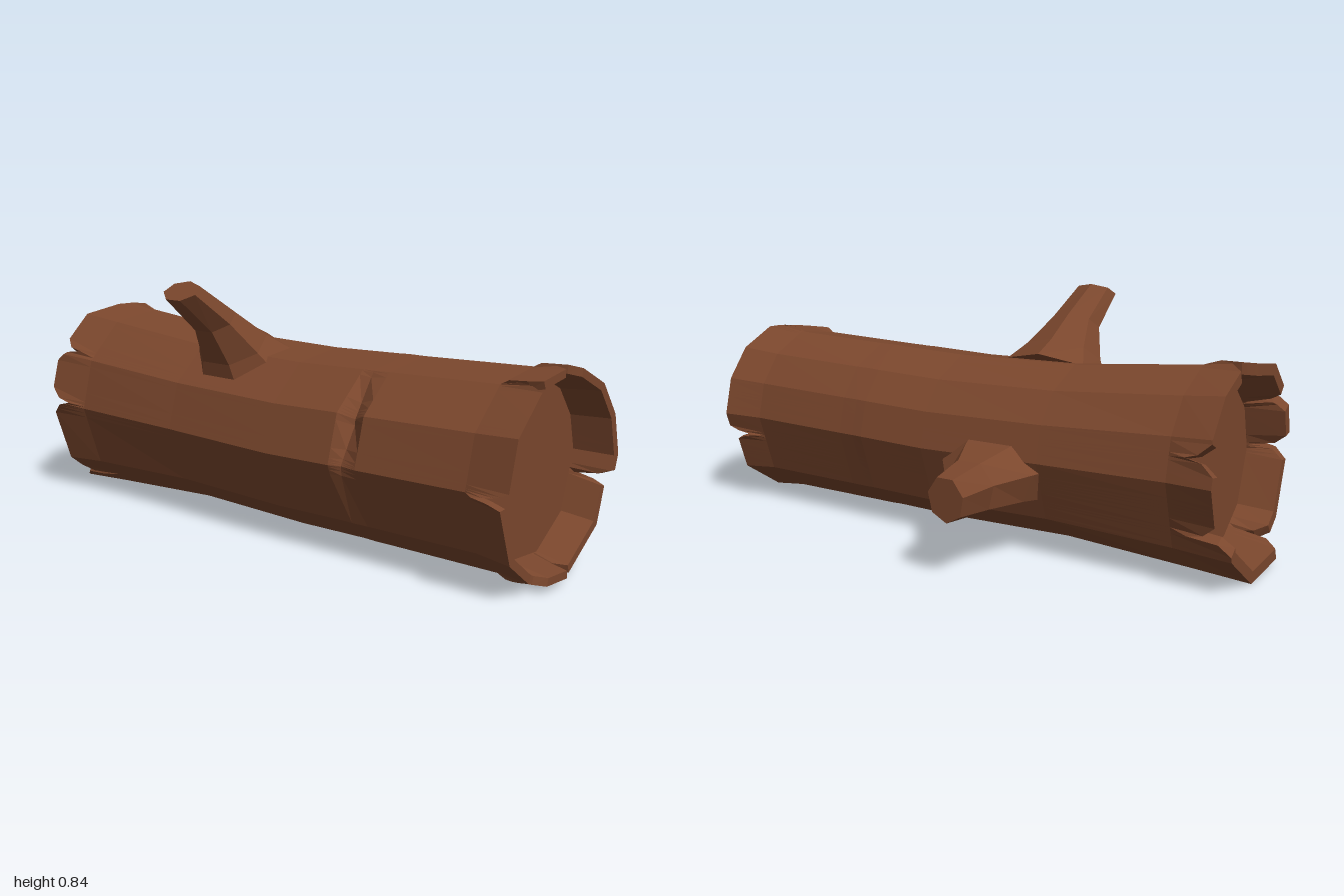
import * as THREE from 'three';

const bark = new THREE.MeshStandardMaterial({ color: 0x7b472d, flatShading: true });
bark.name = 'barkBrown';

// Joins closed rings of points into a skin, with a flat fan at both ends
function loft(name, rings) {
  const pos = [];
  const tri = (...pts) => pts.forEach((p) => pos.push(p.x, p.y, p.z));
  const centre = (ring) => {
    const box = new THREE.Box3().setFromPoints(ring);
    return box.getCenter(new THREE.Vector3());
  };
  const n = rings[0].length;
  const first = rings[0], last = rings[rings.length - 1];
  for (let j = 0; j < n; j++) {
    const k = (j + 1) % n;
    for (let i = 0; i < rings.length - 1; i++) {
      const a = rings[i], b = rings[i + 1];
      tri(a[j], a[k], b[k]);
      tri(a[j], b[k], b[j]);
    }
    tri(centre(first), first[k], first[j]);
    tri(centre(last), last[j], last[k]);
  }
  const geo = new THREE.BufferGeometry();
  geo.setAttribute('position', new THREE.Float32BufferAttribute(pos, 3));
  geo.computeVertexNormals();
  const mesh = new THREE.Mesh(geo, bark);
  mesh.name = name;
  return mesh;
}

const rad = THREE.MathUtils.degToRad;

// Corner angles of the uneven eleven-sided trunk
const corners = [2, 26, 50, 80, 116, 149, 180, 219, 247, 285, 321];

// Radius factor of the trunk polygon at an angle in degrees
function polygon(t) {
  for (let i = 0; i < corners.length; i++) {
    const a = corners[i];
    const b = i + 1 < corners.length ? corners[i + 1] : corners[0] + 360;
    const s = t < a ? t + 360 : t;
    if (s >= a && s <= b) return Math.cos(rad((b - a) / 2)) / Math.cos(rad(s - (a + b) / 2));
  }
  return 1;
}

// Splits in the bark at each end: [angle, rim |z| of the slab that follows it]
const frontEnd = { wide: 5, deep: 0.88, splits: [[82, 0.975], [115, 1], [181, 0.97], [248, 1], [280, 0.975], [348, 1]] };
const backEnd = { wide: 8, deep: 0.86, splits: [[16, 0.94], [80, 0.96], [145, 0.96], [178, 0.95], [238, 1], [332, 0.955]] };

function rimZ(end, t) {
  const s = end.splits;
  let slab = s[s.length - 1][1], dist = 360;
  for (const [a, z] of s) {
    if (t >= a) slab = z;
    const d = Math.abs(t - a);
    dist = Math.min(dist, d, 360 - d);
  }
  if (dist >= end.wide) return slab;
  if (dist >= 2) return slab - 0.04 * (end.wide - dist) / (end.wide - 2);
  return THREE.MathUtils.lerp(end.deep, slab - 0.04, dist / 2);
}

function trunk() {
  const set = new Set(corners);
  for (const end of [frontEnd, backEnd]) {
    for (const [a] of end.splits) {
      for (const d of [-end.wide, -2, 0, 2, end.wide]) set.add((a + d + 360) % 360);
    }
  }
  const angles = [...set].sort((a, b) => a - b);
  // z is a number or a rule of the angle; dent is the depth of the gash
  const ring = (z, rx, ry, cy, dent = 0) => angles.map((t) => {
    const k = polygon(t) - dent * Math.max(0, 1 - Math.abs(t - 152) / 38);
    return new THREE.Vector3(-0.1 + rx * k * Math.cos(rad(t)), cy + ry * k * Math.sin(rad(t)),
      typeof z === 'number' ? z : z(t));
  });
  const back = (t) => -rimZ(backEnd, t);
  const front = (t) => rimZ(frontEnd, t);
  return loft('hollowTrunk', [
    ring(-0.83, 0.275, 0.285, 0.345),
    ring(back, 0.295, 0.31, 0.35),
    ring(back, 0.33, 0.35, 0.35),
    ring(-0.8, 0.305, 0.335, 0.345),
    ring(-0.35, 0.3, 0.3, 0.335),
    ring(0.1, 0.307, 0.3, 0.325),
    ring(0.36, 0.307, 0.302, 0.33),
    ring(0.4, 0.305, 0.304, 0.33, 0.16),
    ring(0.46, 0.303, 0.304, 0.33),
    ring(0.85, 0.302, 0.31, 0.335),
    ring(front, 0.325, 0.325, 0.337),
    ring(front, 0.297, 0.299, 0.337),
    ring(0.87, 0.28, 0.282, 0.342),
  ]);
}

// Tapering branch stub; each section is [x, y, z, direction angle, radius across, radius along z]
function branch(name, sections, sides) {
  return loft(name, sections.map(([x, y, z, dir, ru, rz]) => {
    const u = new THREE.Vector3(-Math.sin(rad(dir)), Math.cos(rad(dir)), 0);
    return Array.from({ length: sides }, (_, i) => {
      const a = ((i + 0.5) / sides) * Math.PI * 2;
      const p = new THREE.Vector3(x, y, z + rz * Math.sin(a));
      return p.addScaledVector(u, ru * Math.cos(a));
    });
  }));
}

export function createModel() {
  const group = new THREE.Group();
  group.name = 'hollowLog';
  group.add(trunk());
  group.add(branch('upperBranch', [
    [-0.2, 0.56, -0.19, 125, 0.15, 0.19],
    [-0.25, 0.625, -0.19, 125, 0.105, 0.14],
    [-0.335, 0.72, -0.19, 127, 0.066, 0.09],
    [-0.468, 0.823, -0.2, 125, 0.05, 0.075],
  ], 7));
  group.add(branch('sideBranch', [
    [0.13, 0.29, -0.17, 0, 0.125, 0.22],
    [0.21, 0.285, -0.17, 0, 0.11, 0.18],
    [0.34, 0.275, -0.19, 0, 0.095, 0.095],
    [0.498, 0.278, -0.21, -3, 0.076, 0.067],
  ], 7));
  return group;
}
